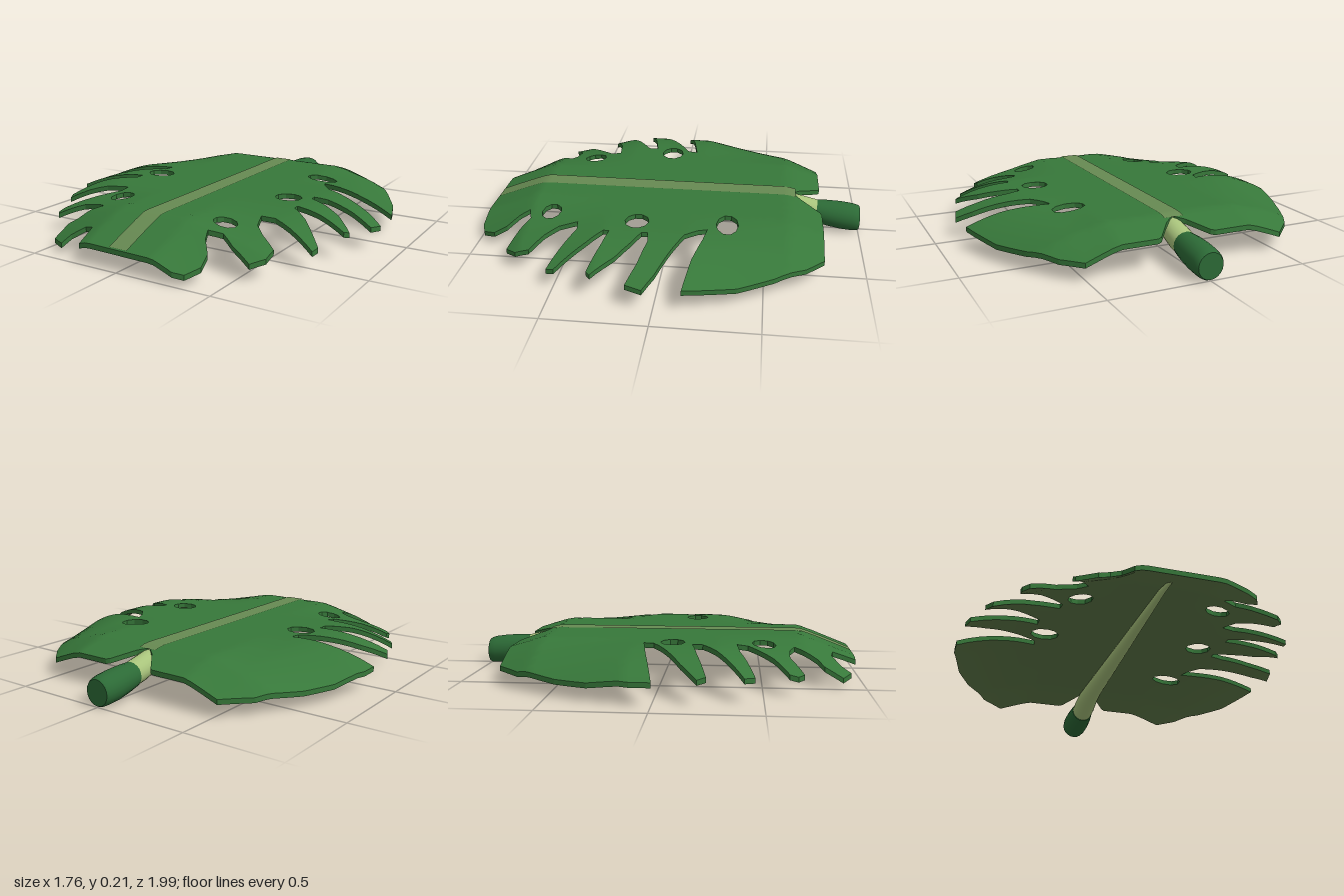
import * as THREE from 'three';

const THICK = 0.025;

// Leaf edge as x, z pairs: model's left side from notch to front, then right side back to notch
const LEFT_EDGE = [
  0, -.64, .05, -.68, .13, -.78, .15, -.79, .51, -.79, .6, -.7, .7, -.55, .79, -.38, .85, -.2, .87, -.13,
  .7, -.16, .55, -.2, .46, -.215, .48, -.17, .53, -.11, .65, -.06, .8, 0, .88, .05, .86, .13,
  .75, .09, .6, .06, .53, .07, .53, .1, .62, .14, .72, .2, .82, .3, .8, .32, .65, .28, .53, .26,
  .53, .29, .62, .36, .75, .49, .74, .53, .6, .47, .5, .43, .43, .44, .46, .53, .52, .59, .61, .65,
  .61, .72, .56, .78, .45, .74, .38, .7, .31, .72, .33, .77, .38, .83, .39, .9, .35, .97, .3, .99];
const RIGHT_EDGE = [
  -.23, .98, -.24, .91, -.25, .86, -.3, .85, -.36, .89, -.38, .94, -.47, .89, -.46, .8, -.42, .77,
  -.39, .71, -.35, .66, -.4, .635, -.5, .63, -.63, .69, -.66, .66, -.66, .62, -.55, .55, -.47, .48,
  -.42, .43, -.42, .375, -.55, .39, -.76, .46, -.79, .41, -.65, .31, -.49, .21, -.49, .16, -.65, .19,
  -.84, .24, -.86, .2, -.75, .12, -.6, .04, -.47, -.03, -.46, -.08, -.65, -.05, -.88, 0, -.88, -.1,
  -.83, -.3, -.76, -.46, -.64, -.67, -.52, -.79, -.15, -.79, -.13, -.78, -.05, -.68];
// Holes: x, z, radius x, radius z
const HOLES = [[.4, -.31, .085, .055], [.42, .14, .07, .06], [.33, .6, .06, .05],
  [-.43, .06, .075, .06], [-.35, .51, .062, .06]];

// Height of the leaf's upper surface: flat middle, drooping rim and corners
const soft = d => (d > 0 ? d * d / (d + 0.03) : 0);
function height(x, z) {
  const a = Math.abs(x), side = Math.max(0, a - 0.5);
  return 0.21 - 0.7 * side * side - 0.4 * soft(z - 0.7) - 0.33 * soft(-z - 0.6)
    - 0.6 * soft(a - 0.18) * soft(z - 0.28) - 0.6 * soft(a - 0.33) * soft(-z - 0.12);
}

function normalAt(x, z) {
  const e = 0.01;
  return new THREE.Vector3(height(x - e, z) - height(x + e, z), 2 * e, height(x, z - e) - height(x, z + e)).normalize();
}

// Flat leaf triangles, halved along their longest edge until small enough to bend
function leafTriangles() {
  const pts = [];
  for (const list of [LEFT_EDGE, RIGHT_EDGE])
    for (let i = 0; i < list.length; i += 2) pts.push(new THREE.Vector2(list[i], -list[i + 1]));
  const shape = new THREE.Shape(pts);
  for (const [x, z, rx, rz] of HOLES) {
    const ring = [];
    for (let i = 0; i < 10; i++) {
      const t = (i + 0.5) / 10 * Math.PI * 2;
      ring.push(new THREE.Vector2(x + rx * Math.cos(t), -z + rz * Math.sin(t)));
    }
    shape.holes.push(new THREE.Path(ring));
  }
  const flat = new THREE.ShapeGeometry(shape).toNonIndexed().attributes.position;
  const todo = [], done = [];
  for (let i = 0; i < flat.count; i += 3)
    todo.push([0, 1, 2].map(k => [flat.getX(i + k), -flat.getY(i + k)]));
  while (todo.length) {
    const t = todo.pop();
    const len = t.map((p, k) => Math.hypot(p[0] - t[(k + 1) % 3][0], p[1] - t[(k + 1) % 3][1]));
    const k = len.indexOf(Math.max(...len));
    if (len[k] < 0.06) { done.push(t); continue; }
    const a = t[k], b = t[(k + 1) % 3], c = t[(k + 2) % 3];
    const m = [(a[0] + b[0]) / 2, (a[1] + b[1]) / 2];
    todo.push([a, m, c], [m, b, c]);
  }
  return done;
}

// Drapes flat triangles on the leaf height; dir -1 turns them to face down
function drape(tris, offset, dir) {
  const pos = [], nor = [];
  for (const t of tris)
    for (const [x, z] of dir > 0 ? t : [t[0], t[2], t[1]]) {
      pos.push(x, height(x, z) + offset, z);
      nor.push(...normalAt(x, z).multiplyScalar(dir).toArray());
    }
  const g = new THREE.BufferGeometry();
  g.setAttribute('position', new THREE.Float32BufferAttribute(pos, 3));
  g.setAttribute('normal', new THREE.Float32BufferAttribute(nor, 3));
  return g;
}

// Walls along every edge that belongs to one triangle only
function rim(tris) {
  const key = p => p[0].toFixed(5) + ',' + p[1].toFixed(5);
  const edges = new Map();
  for (const t of tris)
    t.forEach((a, k) => edges.set(key(a) + '|' + key(t[(k + 1) % 3]), [a, t[(k + 1) % 3]]));
  const pos = [];
  for (const [a, b] of edges.values()) {
    if (edges.has(key(b) + '|' + key(a))) continue;
    const at = (p, drop) => [p[0], height(p[0], p[1]) - drop, p[1]];
    const aT = at(a, 0), bT = at(b, 0), aB = at(a, THICK), bB = at(b, THICK);
    pos.push(...aB, ...bB, ...bT, ...aB, ...bT, ...aT);
  }
  const g = new THREE.BufferGeometry();
  g.setAttribute('position', new THREE.Float32BufferAttribute(pos, 3));
  g.computeVertexNormals();
  return g;
}

// Round bar along z; each section is [z, centre y, radius], listed front to back
function bar(sections) {
  const n = sections.length - 1;
  const g = new THREE.CylinderGeometry(1, 1, 1, 20, n);
  const p = g.attributes.position;
  for (let i = 0; i < p.count; i++) {
    const [z, y, r] = sections[Math.round((0.5 - p.getY(i)) * n)];
    p.setXYZ(i, p.getX(i) * r, y - p.getZ(i) * r, z);
  }
  g.computeVertexNormals();
  return g;
}

export function createModel() {
  const model = new THREE.Group();
  model.name = 'leaf';
  const mat = (name, color) => new THREE.MeshStandardMaterial({ name, color });
  const green = mat('leafGreen', 0x37783a);
  const olive = mat('undersideOlive', 0x5f7a48);
  const ribGreen = mat('ribGreen', 0x678a52);
  const pale = mat('paleStem', 0xa9c47c);
  const dark = mat('stalkGreen', 0x2c6a36);
  const add = (name, geometry, material) => {
    const mesh = new THREE.Mesh(geometry, material);
    mesh.name = name;
    model.add(mesh);
  };

  // Blade
  const tris = leafTriangles();
  add('bladeTop', drape(tris, 0, 1), green);
  add('bladeUnderside', drape(tris, -THICK, -1), olive);
  add('bladeRim', rim(tris), green);

  // Midrib stripe on the upper side
  const stripe = [], w = 0.05, rows = 50;
  for (let i = 0; i < rows; i++) {
    const z0 = -0.655 + 1.635 * i / rows, z1 = -0.655 + 1.635 * (i + 1) / rows;
    stripe.push([[-w, z0], [-w, z1], [w, z1]], [[-w, z0], [w, z1], [w, z0]]);
  }
  add('midribStripe', drape(stripe, 0.004, 1), ribGreen);

  // Tapering stem under the blade and the thick stalk end
  add('stem', bar([[.82, .152, .008], [.7, .167, .016], [0, .155, .036], [-.5, .148, .05],
    [-.64, .138, .058], [-.72, .115, .062], [-.79, .1, .06]]), pale);
  add('stalk', bar([[-.77, .102, .062], [-.83, .094, .07], [-.9, .085, .075], [-.96, .078, .074],
    [-.99, .074, .07], [-1, .073, .064]]), dark);
  return model;
}
